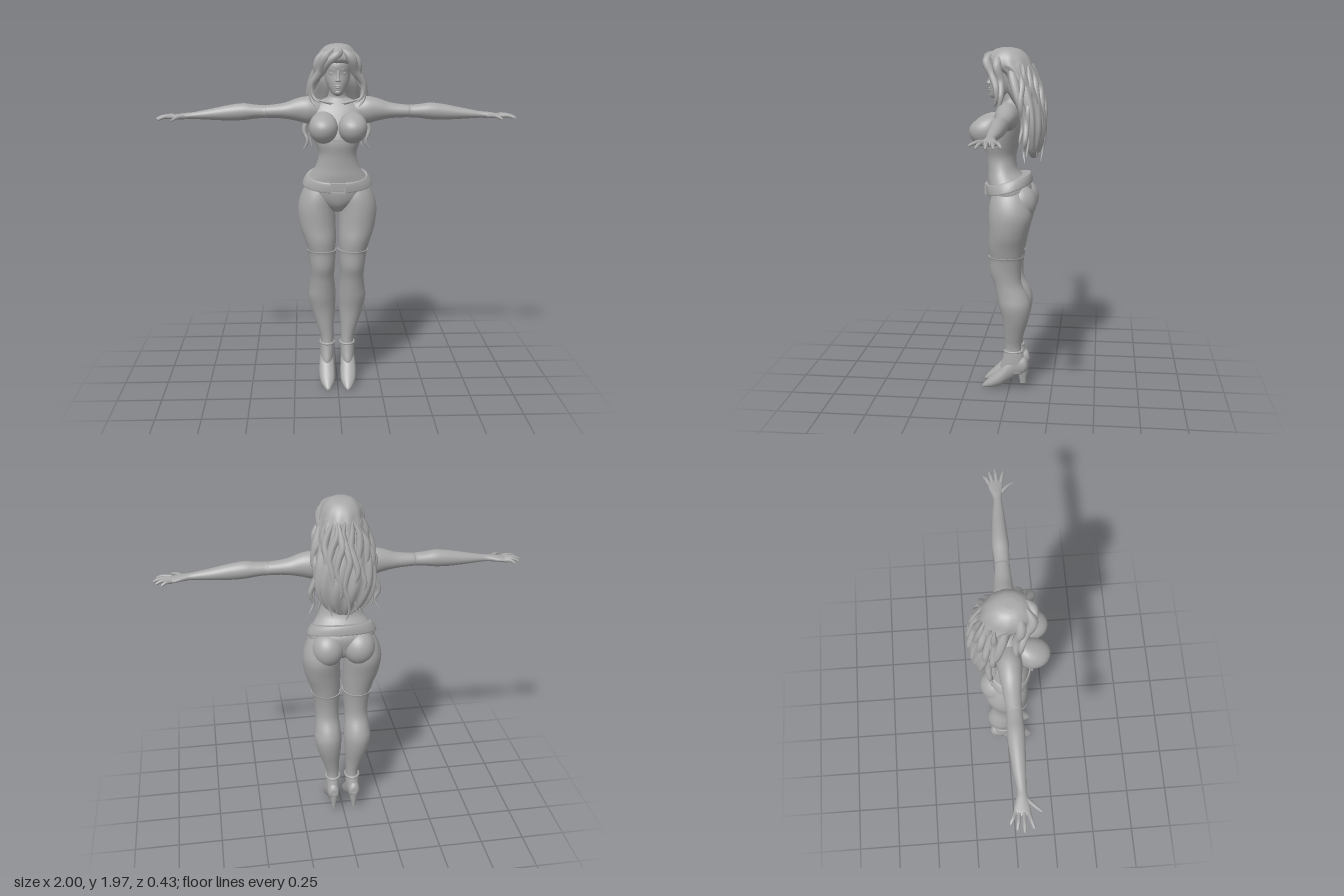
import * as THREE from 'three';

const grey = new THREE.MeshStandardMaterial({ color: 0xa8a8a8 });
grey.name = 'clay grey';

const cubic = (a, b, c, d, t) =>
  0.5 * (2 * b + (c - a) * t + (2 * a - 5 * b + 4 * c - d) * t * t + (3 * b - a - 3 * c + d) * t * t * t);

// Smooth closed body through cross-sections [t, a0, a1, b0, b1] along an axis.
function loft(rows, axis, side = 1, warp = (p) => p, steps = 4, n = 32) {
  const pos = [], idx = [], last = rows.length - 1;
  const put = (t, a, b, ang) => {
    const p = axis === 'y' ? [a, t, b] : axis === 'x' ? [t, a, b] : [a, b, t];
    const q = warp(new THREE.Vector3(...p), ang);
    pos.push(q.x * side, q.y, q.z);
  };
  const total = last * steps;
  for (let k = 0; k <= total; k++) {
    const i = Math.min(Math.floor(k / steps), last - 1), f = k / steps - i;
    const r = (j) => rows[Math.max(0, Math.min(last, j))];
    const [t, a0, a1, b0, b1] = rows[0].map((_, c) => cubic(r(i - 1)[c], r(i)[c], r(i + 1)[c], r(i + 2)[c], f));
    for (let j = 0; j < n; j++) {
      const g = (j / n) * Math.PI * 2;
      put(t, (a0 + a1) / 2 + (a1 - a0) / 2 * Math.cos(g), (b0 + b1) / 2 + (b1 - b0) / 2 * Math.sin(g), g);
    }
  }
  for (let k = 0; k < total; k++) for (let j = 0; j < n; j++) {
    const a = k * n + j, b = k * n + (j + 1) % n;
    idx.push(a, a + n, b, b, a + n, b + n);
  }
  // end caps
  for (const [row, base, flip] of [[rows[0], 0, false], [rows[last], total * n, true]]) {
    const c = pos.length / 3;
    put(row[0], (row[1] + row[2]) / 2, (row[3] + row[4]) / 2, 0);
    for (let j = 0; j < n; j++) {
      const a = base + j, b = base + (j + 1) % n;
      idx.push(...(flip ? [c, b, a] : [c, a, b]));
    }
  }
  // turn the faces outward
  let vol = 0;
  const v = (i) => new THREE.Vector3(pos[3 * i], pos[3 * i + 1], pos[3 * i + 2]);
  for (let i = 0; i < idx.length; i += 3) vol += v(idx[i]).dot(v(idx[i + 1]).cross(v(idx[i + 2])));
  if (vol < 0) idx.reverse();
  const g = new THREE.BufferGeometry();
  g.setAttribute('position', new THREE.Float32BufferAttribute(pos, 3));
  g.setIndex(idx);
  g.computeVertexNormals();
  return g;
}

// Tapered tube through points, for hair and fingers.
function strand(points, radius, taper, seg = 28) {
  const curve = new THREE.CatmullRomCurve3(points.map((p) => new THREE.Vector3(...p)));
  const g = new THREE.TubeGeometry(curve, seg, radius, 9), p = g.attributes.position, v = new THREE.Vector3();
  for (let i = 0; i < p.count; i++) {
    const t = Math.floor(i / 10) / seg, c = curve.getPointAt(t);
    v.fromBufferAttribute(p, i).sub(c).multiplyScalar(taper(t)).add(c);
    p.setXYZ(i, v.x, v.y, v.z);
  }
  return g;
}
const lockTaper = (t) => Math.min(1, t * 4 + 0.2) * Math.pow(1 - t, 0.6);
const fingerTaper = (t) => (1 - 0.35 * t) * Math.sqrt(Math.max(0, 1 - Math.pow(t, 12)));

export function createModel() {
  const model = new THREE.Group();
  const add = (name, geo) => {
    const m = new THREE.Mesh(geo, grey);
    m.name = name;
    model.add(m);
    return m;
  };
  const ball = (name, x, y, z, rx, ry, rz) => {
    const m = add(name, new THREE.SphereGeometry(1, 28, 20));
    m.position.set(x, y, z);
    m.scale.set(rx, ry, rz);
    return m;
  };
  const sym = (list) => list.map(([y, w, z0, z1]) => [y, -w, w, z0, z1]);

  // torso and neck
  add('torso', loft(sym([[1.04, 0.03, -0.03, 0.06], [1.08, 0.1, -0.09, 0.095], [1.13, 0.17, -0.11, 0.112],
    [1.2, 0.185, -0.12, 0.12], [1.25, 0.155, -0.09, 0.125], [1.3, 0.122, -0.045, 0.125], [1.37, 0.105, -0.035, 0.13],
    [1.44, 0.125, -0.05, 0.14], [1.52, 0.145, -0.07, 0.12], [1.6, 0.155, -0.075, 0.085], [1.64, 0.13, -0.065, 0.06],
    [1.665, 0.08, -0.055, 0.042], [1.685, 0.05, -0.05, 0.035], [1.76, 0.045, -0.045, 0.05]]), 'y'));

  // belt, higher at the back, with buckle
  const tilt = (p) => p.setY(p.y - 0.28 * p.z);
  add('belt', loft(sym([[1.193, 0.192, -0.124, 0.126], [1.198, 0.196, -0.128, 0.131], [1.225, 0.186, -0.125, 0.134],
    [1.246, 0.172, -0.118, 0.134], [1.25, 0.167, -0.113, 0.13]]), 'y', 1, tilt, 3, 48));
  const frame = new THREE.Shape().moveTo(-0.043, -0.03).lineTo(0.043, -0.03).lineTo(0.043, 0.03).lineTo(-0.043, 0.03);
  frame.holes.push(new THREE.Path().moveTo(-0.03, -0.018).lineTo(-0.03, 0.018).lineTo(0.03, 0.018).lineTo(0.03, -0.018));
  add('buckleFrame', new THREE.ExtrudeGeometry(frame, { depth: 0.014, bevelEnabled: false })).position.set(0, 1.185, 0.127);
  add('bucklePin', new THREE.BoxGeometry(0.045, 0.008, 0.012)).position.set(0.01, 1.185, 0.134);

  // bodice lacing
  for (let i = -2; i <= 2; i++)
    add('lace', new THREE.BoxGeometry(0.008, 0.012, 0.008)).position.set(i * 0.012, 1.452, 0.14);

  // head and face
  add('head', loft(sym([[1.692, 0.016, 0.05, 0.095], [1.702, 0.03, 0.02, 0.108], [1.73, 0.05, -0.04, 0.113],
    [1.77, 0.066, -0.06, 0.112], [1.81, 0.072, -0.07, 0.107], [1.86, 0.075, -0.08, 0.112], [1.92, 0.06, -0.06, 0.08]]), 'y'));
  add('nose', loft([[1.768, -0.012, 0.012, 0.1, 0.118], [1.774, -0.014, 0.014, 0.1, 0.131],
    [1.79, -0.009, 0.009, 0.095, 0.124], [1.83, -0.007, 0.007, 0.09, 0.111]], 'y', 1, undefined, 4, 12));
  ball('upperLip', 0, 1.747, 0.112, 0.019, 0.005, 0.008);
  ball('lowerLip', 0, 1.738, 0.111, 0.016, 0.006, 0.008);
  ball('chin', 0, 1.711, 0.1, 0.018, 0.014, 0.014);

  for (const s of [1, -1]) {
    const side = s > 0 ? 'left' : 'right';
    ball(side + 'Eye', s * 0.031, 1.812, 0.092, 0.014, 0.007, 0.008);
    add(side + 'Brow', strand([[s * 0.012, 1.826, 0.107], [s * 0.034, 1.836, 0.1], [s * 0.054, 1.83, 0.08]], 0.005, lockTaper));

    // bust, fuller below
    const bust = ball(side + 'Breast', s * 0.08, 1.522, 0.13, 0.079, 0.085, 0.088);
    const bp = bust.geometry.attributes.position;
    for (let i = 0; i < bp.count; i++) if (bp.getY(i) > 0) bp.setZ(i, bp.getZ(i) - 0.45 * bp.getY(i) ** 2);
    bust.geometry.computeVertexNormals();
    add(side + 'Collarbone', strand([[s * 0.02, 1.645, 0.055], [s * 0.07, 1.655, 0.05], [s * 0.14, 1.672, 0.03]], 0.01, lockTaper));

    // arm, glove and cuff
    add(side + 'UpperArm', loft([[0.07, 1.56, 1.65, -0.045, 0.045], [0.11, 1.54, 1.668, -0.055, 0.058],
      [0.16, 1.53, 1.682, -0.064, 0.066], [0.22, 1.545, 1.672, -0.056, 0.06], [0.3, 1.56, 1.645, -0.044, 0.05],
      [0.41, 1.565, 1.632, -0.032, 0.044]], 'x', s));
    add(side + 'Glove', loft([[0.397, 1.562, 1.635, -0.036, 0.048], [0.41, 1.563, 1.634, -0.034, 0.046],
      [0.46, 1.56, 1.638, -0.037, 0.048], [0.52, 1.552, 1.645, -0.04, 0.05], [0.6, 1.55, 1.635, -0.035, 0.046],
      [0.7, 1.555, 1.615, -0.025, 0.04], [0.79, 1.56, 1.598, -0.012, 0.034], [0.83, 1.559, 1.594, -0.018, 0.037],
      [0.87, 1.558, 1.588, -0.031, 0.043], [0.905, 1.558, 1.582, -0.034, 0.044], [0.92, 1.563, 1.576, -0.025, 0.035]], 'x', s));
    const fingers = [[0.9, -0.028, 0.955, -0.056], [0.905, -0.01, 0.985, -0.025], [0.905, 0.013, 1, 0.01],
      [0.9, 0.034, 0.985, 0.058], [0.835, 0.027, 0.905, 0.102]];
    for (const [x0, z0, x1, z1] of fingers)
      add(side + 'Finger', strand([[s * x0, 1.572, z0], [s * (x0 * 0.45 + x1 * 0.55), 1.574, (z0 + z1) / 2],
        [s * x1, 1.56, z1]], 0.0115, fingerTaper, 14));

    // leg, stocking and buttock
    ball(side + 'Buttock', s * 0.088, 1.125, -0.065, 0.09, 0.1, 0.092);
    add(side + 'Thigh', loft([[1.2, 0.03, 0.17, -0.09, 0.08], [1.13, 0.012, 0.206, -0.12, 0.102],
      [1.05, 0.012, 0.224, -0.132, 0.108], [0.95, 0.009, 0.213, -0.108, 0.108], [0.87, 0.008, 0.187, -0.09, 0.112],
      [0.79, 0.012, 0.163, -0.076, 0.1]], 'y', s));
    add(side + 'Stocking', loft([[0.815, 0.004, 0.175, -0.085, 0.113], [0.795, 0.008, 0.168, -0.079, 0.108],
      [0.72, 0.014, 0.157, -0.07, 0.104], [0.65, 0.018, 0.153, -0.075, 0.082], [0.58, 0.012, 0.16, -0.11, 0.067],
      [0.52, 0.008, 0.166, -0.125, 0.055], [0.44, 0.012, 0.15, -0.115, 0.036], [0.34, 0.02, 0.118, -0.086, 0.026],
      [0.26, 0.022, 0.095, -0.07, 0.022], [0.19, 0.022, 0.097, -0.075, 0.028]], 'y', s));

    // high-heeled boot
    const band = add(side + 'AnkleBand', new THREE.TorusGeometry(0.04, 0.007, 8, 32));
    band.rotation.x = Math.PI / 2;
    band.scale.y = 1.22;
    band.position.set(s * 0.0585, 0.235, -0.026);
    add(side + 'BootShaft', loft([[0.236, 0.02, 0.097, -0.076, 0.026], [0.19, 0.02, 0.1, -0.09, 0.036],
      [0.14, 0.022, 0.1, -0.105, 0.05], [0.1, 0.03, 0.095, -0.095, 0.05]], 'y', s));
    add(side + 'BootFoot', loft([[-0.108, 0.04, 0.08, 0.125, 0.175], [-0.09, 0.03, 0.095, 0.1, 0.2],
      [-0.04, 0.024, 0.1, 0.08, 0.21], [0, 0.019, 0.105, 0.052, 0.19], [0.05, 0.016, 0.108, 0.02, 0.128],
      [0.1, 0.02, 0.1, 0.006, 0.078], [0.14, 0.037, 0.08, 0.001, 0.038], [0.158, 0.05, 0.064, 0.001, 0.014]], 'z', s));
    add(side + 'BootHeel', loft([[0.15, 0.032, 0.09, -0.11, -0.045], [0.1, 0.038, 0.083, -0.106, -0.053],
      [0.045, 0.048, 0.074, -0.1, -0.065], [0.04, 0.048, 0.074, -0.1, -0.065]], 'y', s));

    // locks framing the face and falling past the shoulder
    const locks = [
      [[0.02, 1.945, 0.09], [0.07, 1.895, 0.118], [0.095, 1.82, 0.085], [0.14, 1.75, 0.06], [0.135, 1.69, 0.06], [0.1, 1.65, 0.08]],
      [[0.03, 1.95, 0.05], [0.105, 1.87, 0.06], [0.11, 1.79, 0.04], [0.145, 1.71, 0.035], [0.14, 1.66, 0.045], [0.115, 1.63, 0.065]],
      [[0.06, 1.9, 0], [0.12, 1.8, -0.03], [0.15, 1.7, -0.06], [0.15, 1.58, -0.1], [0.185, 1.48, -0.1], [0.165, 1.42, -0.09], [0.195, 1.36, -0.1]]];
    for (const l of locks)
      add(side + 'HairLock', strand(l.map(([x, y, z]) => [s * x, y, z]), 0.032, lockTaper));
  }

  // main mass of hair, rippled into strands
  const ripple = (p, g) => {
    const k = 1 + 0.035 * Math.sin(11 * g + p.y * 18) * Math.min(1, (1.97 - p.y) * 6);
    return p.set(p.x * k, p.y, -0.03 + (p.z + 0.03) * k);
  };
  add('hair', loft([[1.968, -0.025, 0.03, -0.01, 0.045], [1.955, -0.065, 0.068, -0.06, 0.085],
    [1.92, -0.098, 0.1, -0.1, 0.122], [1.88, -0.11, 0.115, -0.122, 0.128], [1.855, -0.112, 0.118, -0.13, 0.08],
    [1.82, -0.118, 0.122, -0.138, 0.035], [1.75, -0.138, 0.14, -0.16, 0.025], [1.65, -0.155, 0.155, -0.188, -0.03],
    [1.55, -0.16, 0.16, -0.2, -0.06], [1.47, -0.14, 0.14, -0.19, -0.085], [1.41, -0.105, 0.105, -0.17, -0.1],
    [1.37, -0.05, 0.05, -0.15, -0.115]], 'y', 1, ripple, 4, 80));

  // swept fringe
  add('fringe', strand([[0.03, 1.945, 0.08], [-0.01, 1.91, 0.125], [-0.055, 1.87, 0.12], [-0.085, 1.81, 0.085],
    [-0.12, 1.76, 0.06]], 0.03, lockTaper));

  // wavy locks down the back
  for (let i = -5; i <= 5; i++) {
    const a = (i / 5) * 1.35, end = 1.34 + 0.05 * Math.abs(i) / 5 + (i % 2 ? 0.035 : 0), pts = [];
    for (let k = 0; k <= 8; k++) {
      const t = k / 8, wave = 0.013 * Math.sin(t * 13 + i * 1.7);
      const w = 0.09 + 0.07 * Math.sin(Math.min(1, t * 1.4) * Math.PI * 0.6);
      const d = 0.075 + 0.075 * Math.sin(Math.min(1, t * 1.1) * Math.PI * 0.75);
      pts.push([w * Math.sin(a) + wave, 1.88 + (end - 1.88) * t, -0.045 - d * Math.cos(a) + wave * 0.4]);
    }
    add('backHairLock', strand(pts, 0.024, lockTaper, 40));
  }
  return model;
}
